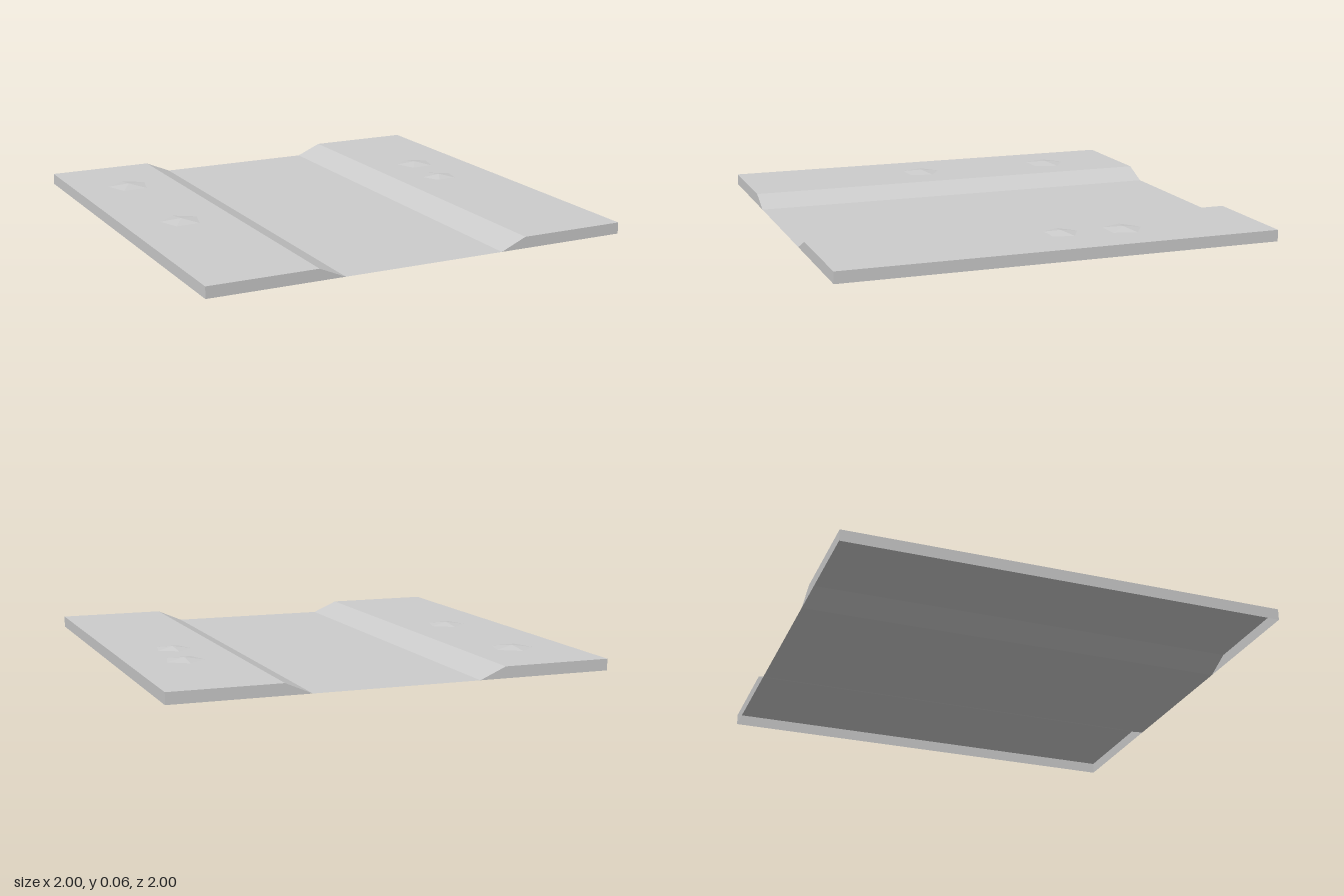
import * as THREE from 'three';

const TOP = 0.052;

export function createModel() {
  const group = new THREE.Group();
  const stone = new THREE.MeshStandardMaterial({ color: 0xcccccc, side: THREE.DoubleSide, flatShading: true });
  stone.name = 'pale grey';

  const add = (name, geometry, x = 0, y = 0, z = 0) => {
    const mesh = new THREE.Mesh(geometry, stone);
    mesh.name = name;
    mesh.position.set(x, y, z);
    group.add(mesh);
    return mesh;
  };

  // Ground: the channel profile swept from front to back, open underneath
  const profile = [[-1, 0], [-1, TOP], [-0.5, TOP], [-0.38, 0], [0.38, 0], [0.5, TOP], [1, TOP], [1, 0]];
  const positions = [];
  for (let i = 0; i < profile.length - 1; i++) {
    const [x0, y0] = profile[i], [x1, y1] = profile[i + 1];
    positions.push(x0, y0, 1, x1, y1, 1, x1, y1, -1);
    positions.push(x0, y0, 1, x1, y1, -1, x0, y0, -1);
  }
  const ground = new THREE.BufferGeometry();
  ground.setAttribute('position', new THREE.Float32BufferAttribute(positions, 3));
  ground.computeVertexNormals();
  add('ground', ground);

  // End walls of both banks, front and back
  const polygon = (points) => new THREE.ShapeGeometry(new THREE.Shape(points.map(([x, y]) => new THREE.Vector2(x, y))));
  for (const bank of [profile.slice(0, 4), profile.slice(4)]) {
    add('frontBankWall', polygon(bank), 0, 0, 1);
    // Mirrored in x and turned round, so the back wall faces outward
    const back = polygon(bank.map(([x, y]) => [-x, y])).rotateY(Math.PI);
    add('backBankWall', back, 0, 0, -1);
  }

  // Thin flat patches on the banks, as x and z outlines
  const patches = {
    rightPatch: [[-0.9, 0.48], [-0.66, 0.51], [-0.57, 0.38], [-0.64, 0.28], [-0.74, 0.24], [-0.89, 0.32]],
    leftPatch: [[0.6, 0.36], [0.72, 0.42], [0.82, 0.37], [0.88, 0.25], [0.87, 0.08], [0.8, -0.02], [0.68, -0.03], [0.57, 0.14]],
  };
  for (const [name, outline] of Object.entries(patches)) {
    add(name, polygon(outline.map(([x, z]) => [x, -z])).rotateX(-Math.PI / 2), 0, TOP + 0.001, 0);
  }

  // Low five-sided mounds: x, z, radius, turn
  const mounds = [
    [-0.74, -0.605, 0.1, 0.05],
    [-0.74, 0.09, 0.095, 0.05],
    [0.745, -0.37, 0.092, 0.05],
    [0.72, -0.085, 0.083, 0.12],
  ];
  for (const [x, z, radius, turn] of mounds) {
    const mound = add('mound', new THREE.ConeGeometry(radius, 0.012, 5, 1, true), x, TOP + 0.006, z);
    mound.rotation.y = Math.PI + turn;
  }

  return group;
}
